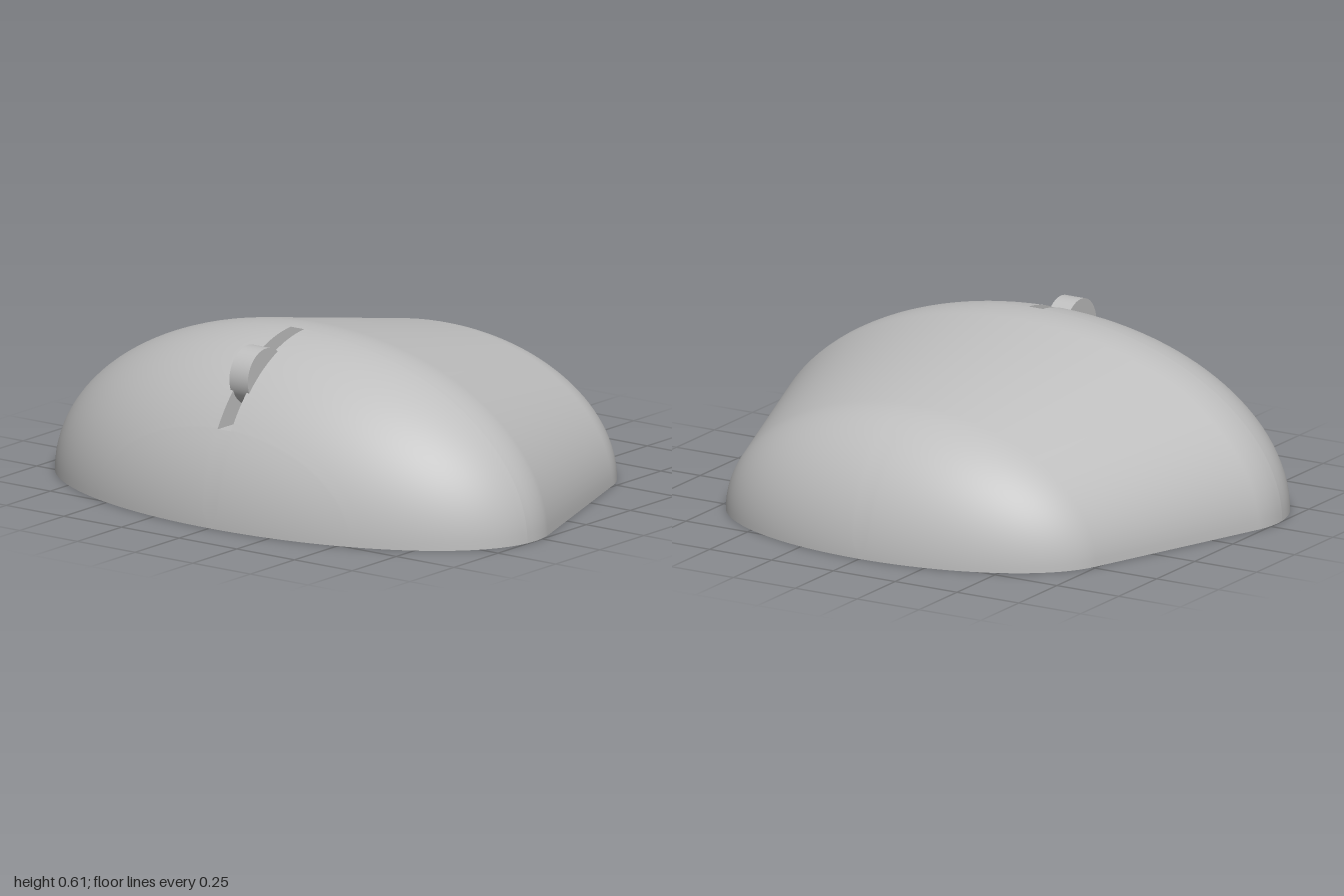
import * as THREE from 'three';

// Body: two half ellipsoids joined by a tangent tapered section
const FRONT = { z: 0.29, rx: 1.0, ry: 0.613, rz: 0.54 };
const BACK = { z: -0.41, rx: 0.755, ry: 0.475, rz: 0.42 };
const TANGENT = -Math.asin((FRONT.rz - BACK.rz) / (FRONT.z - BACK.z));
// Wheel slot
const SLOT = { half: 0.029, back: 0.33, front: 0.744, floor: 0.33 };

const ring = (e, t) => ({
  z: e.z + e.rz * Math.sin(t),
  rx: e.rx * Math.max(0, Math.cos(t)),
  ry: e.ry * Math.max(0, Math.cos(t)),
});
const frontAngle = (z) => Math.asin((z - FRONT.z) / FRONT.rz);

// Cross-sections from nose to tail, with exact rings at the slot ends
function makeRings() {
  const angles = [frontAngle(SLOT.back), frontAngle(SLOT.front)];
  const n = 36;
  for (let i = 0; i <= n; i++) angles.push(Math.PI / 2 + (TANGENT - Math.PI / 2) * (i / n));
  angles.sort((a, b) => b - a);
  const rings = angles.map((t) => ring(FRONT, t));
  for (let i = 0; i <= 28; i++) {
    rings.push(ring(BACK, TANGENT + (-Math.PI / 2 - TANGENT) * (i / 28)));
  }
  return rings;
}

// Shell with the middle column left open along the slot
function shellGeometry(rings) {
  const half = 28;
  const cols = 2 * half + 2;
  const positions = [];
  const indices = [];
  for (const r of rings) {
    const edge = Math.acos(Math.min(0.3, SLOT.half / Math.max(r.rx, 1e-6)));
    for (let j = 0; j < cols; j++) {
      const a = j <= half ? (edge * j) / half : Math.PI - (edge * (cols - 1 - j)) / half;
      positions.push(r.rx * Math.cos(a), r.ry * Math.sin(a), r.z);
    }
  }
  for (let i = 0; i < rings.length - 1; i++) {
    const mid = (rings[i].z + rings[i + 1].z) / 2;
    const open = mid > SLOT.back && mid < SLOT.front;
    for (let j = 0; j < cols - 1; j++) {
      if (open && j === half) continue;
      const a = i * cols + j;
      const c = a + cols;
      indices.push(a, c, a + 1, a + 1, c, c + 1);
    }
  }
  const g = new THREE.BufferGeometry();
  g.setAttribute('position', new THREE.Float32BufferAttribute(positions, 3));
  g.setIndex(indices);
  g.computeVertexNormals();
  return g;
}

export function createModel() {
  const model = new THREE.Group();
  const grey = new THREE.MeshStandardMaterial({ color: 0xbebebe, side: THREE.DoubleSide });
  grey.name = 'light grey';
  const add = (name, geometry, parent = model) => {
    const mesh = new THREE.Mesh(geometry, grey);
    mesh.name = name;
    parent.add(mesh);
    return mesh;
  };

  const rings = makeRings();
  add('bodyShell', shellGeometry(rings));

  // Flat underside following the widest outline
  const outline = rings.map((r) => new THREE.Vector2(r.rx, r.z));
  const mirrored = rings.slice(1, -1).reverse().map((r) => new THREE.Vector2(-r.rx, r.z));
  add('base', new THREE.ShapeGeometry(new THREE.Shape([...outline, ...mirrored])).rotateX(Math.PI / 2));

  // Slot lining: two side walls cut to the shell, a floor and a rear wall
  const slot = new THREE.Group();
  slot.name = 'wheelSlot';
  model.add(slot);
  const top = rings
    .filter((r) => r.z > SLOT.back - 1e-6 && r.z < SLOT.front + 1e-6)
    .map((r) => new THREE.Vector2(-r.z, r.ry * Math.sqrt(1 - (SLOT.half / r.rx) ** 2)));
  const wall = new THREE.Shape([
    ...top,
    new THREE.Vector2(-SLOT.back, SLOT.floor),
    new THREE.Vector2(-SLOT.front, SLOT.floor),
  ]);
  for (const side of [-1, 1]) {
    const mesh = add(side > 0 ? 'slotWallLeft' : 'slotWallRight', new THREE.ShapeGeometry(wall), slot);
    mesh.rotation.y = Math.PI / 2;
    mesh.position.x = side * SLOT.half;
  }
  const width = 2 * SLOT.half;
  const length = SLOT.front - SLOT.back;
  const floor = add('slotFloor', new THREE.PlaneGeometry(width, length).rotateX(-Math.PI / 2), slot);
  floor.position.set(0, SLOT.floor, (SLOT.front + SLOT.back) / 2);
  const rearHeight = FRONT.ry * Math.cos(frontAngle(SLOT.back)) - SLOT.floor;
  const rear = add('slotRearWall', new THREE.PlaneGeometry(width, rearHeight), slot);
  rear.position.set(0, SLOT.floor + rearHeight / 2, SLOT.back);

  // Scroll wheel, slightly wider than its slot
  const wheel = add('scrollWheel', new THREE.CylinderGeometry(0.103, 0.103, 0.08, 48).rotateZ(Math.PI / 2));
  wheel.position.set(0, 0.488, 0.56);

  return model;
}
